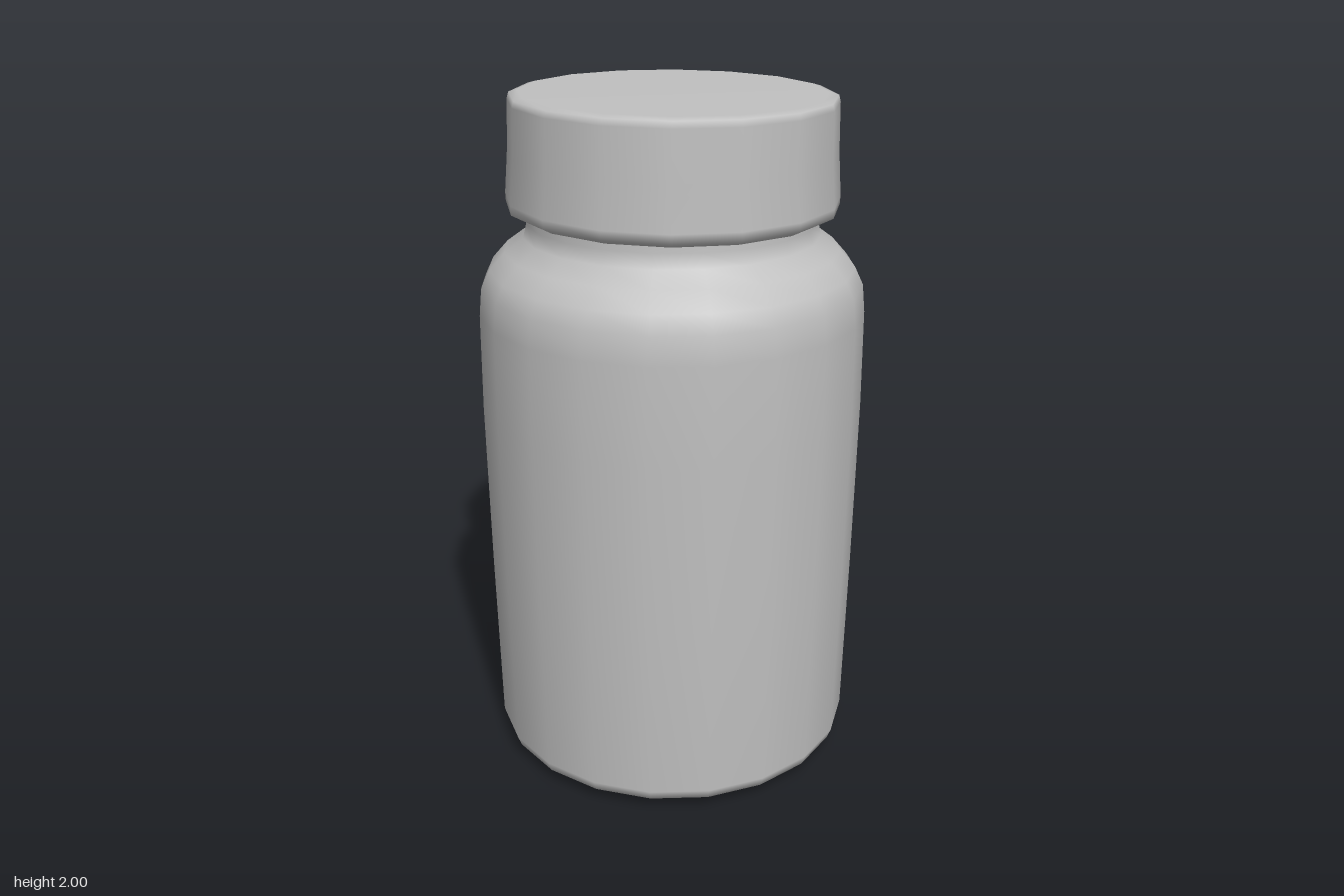
import * as THREE from 'three';

const grey = new THREE.MeshStandardMaterial({ color: 0xc0c0c0 });
grey.name = 'plain grey';

// Solid of revolution from [radius, height] pairs, listed bottom to top
function turned(name, profile, sides, turn) {
  const points = profile.map(([r, y]) => new THREE.Vector2(r, y));
  const mesh = new THREE.Mesh(new THREE.LatheGeometry(points, sides, turn), grey);
  mesh.name = name;
  return mesh;
}

export function createModel() {
  const jar = new THREE.Group();
  jar.name = 'jar';

  // Body: rounded base, faintly bulging wall, sloping shoulder and neck
  const body = turned('body', [
    [0, 0.012], [0.44, 0.01], [0.49, 0.015], [0.535, 0.04], [0.546, 0.07],
    [0.555, 0.6], [0.56, 1.1], [0.557, 1.38], [0.549, 1.46], [0.525, 1.51],
    [0.48, 1.56], [0.425, 1.6], [0.415, 1.64], [0.415, 1.7],
  ], 20, 0.15);

  // Cap: slightly tapered, wider at the rim, sitting with a tiny tilt
  const cap = turned('cap', [
    [0.40, -0.325], [0.445, -0.325], [0.473, -0.31], [0.474, -0.285],
    [0.464, -0.16], [0.46, -0.025], [0.455, -0.007], [0.43, 0], [0, 0],
  ], 16, 0.1);
  cap.position.set(0.008, 1.994, 0);
  cap.rotation.z = -0.013;

  // Low edge of the base
  const foot = turned('foot', [[0, 0], [0.44, 0], [0.49, 0.015]], 20, 0.15);

  jar.add(body, cap, foot);
  return jar;
}
